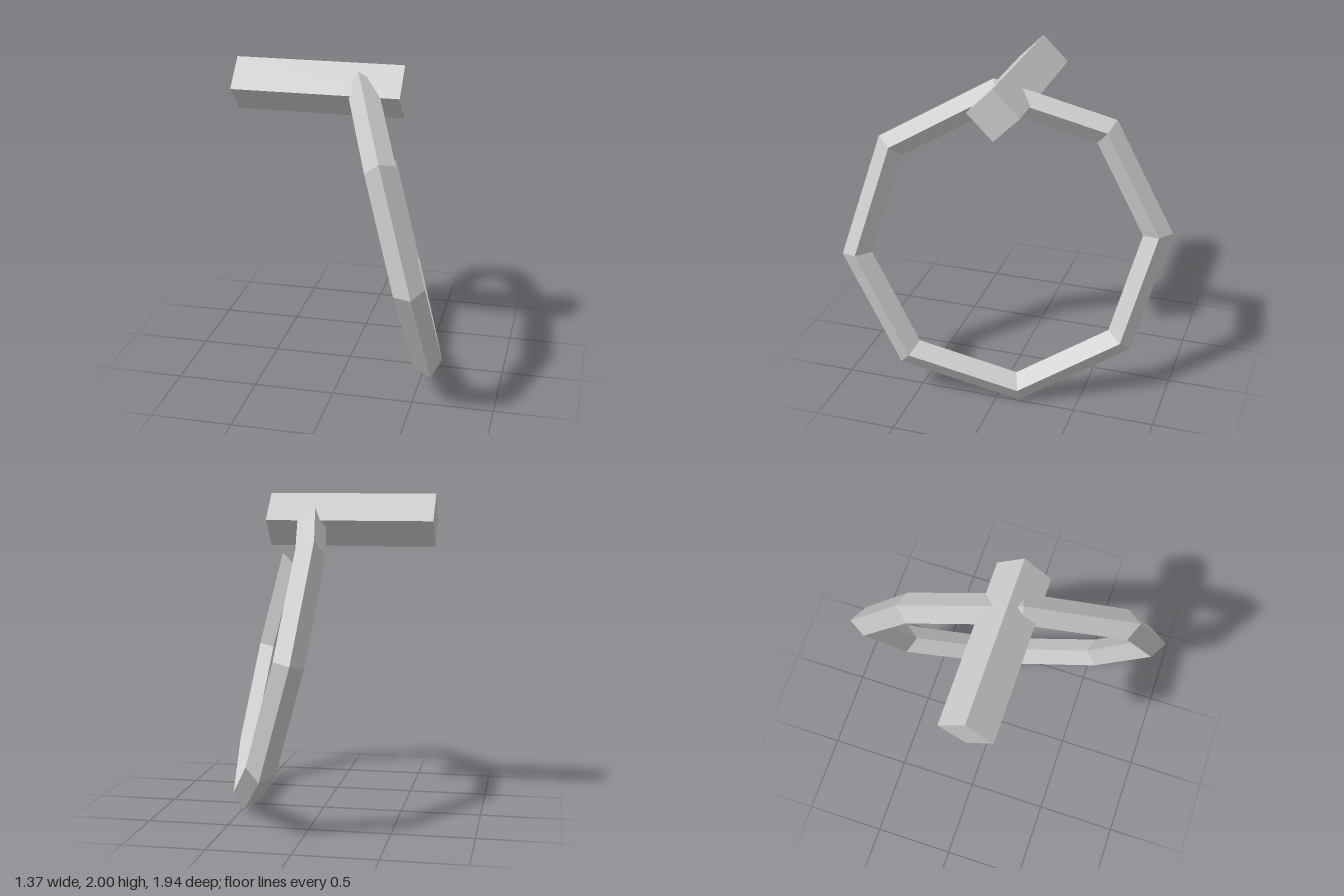
import * as THREE from 'three';

export function createModel() {
  const group = new THREE.Group();
  const material = new THREE.MeshStandardMaterial({ color: 0xcccccc, flatShading: true });

  // Tilted eight-sided ring with a diamond cross-section
  const ring = new THREE.Mesh(new THREE.TorusGeometry(0.922, 0.091, 4, 8), material);
  ring.name = 'ring';
  const across = new THREE.Vector3(0.25, -0.075, 0.885).normalize();
  const axis = across.clone().cross(new THREE.Vector3(0.187, -0.895, -0.1275)).normalize();
  const down = axis.clone().cross(across);
  ring.quaternion.setFromRotationMatrix(new THREE.Matrix4().makeBasis(across, down, axis));
  ring.position.set(0.285, 0.984, 0);
  group.add(ring);

  // Square bar lying along x, standing on its edge, through the top of the ring
  const bar = new THREE.Mesh(new THREE.CylinderGeometry(0.163, 0.163, 1.035, 4), material);
  bar.name = 'bar';
  bar.rotation.z = Math.PI / 2;
  bar.position.set(-0.1725, 1.837, 0.06);
  group.add(bar);

  return group;
}
